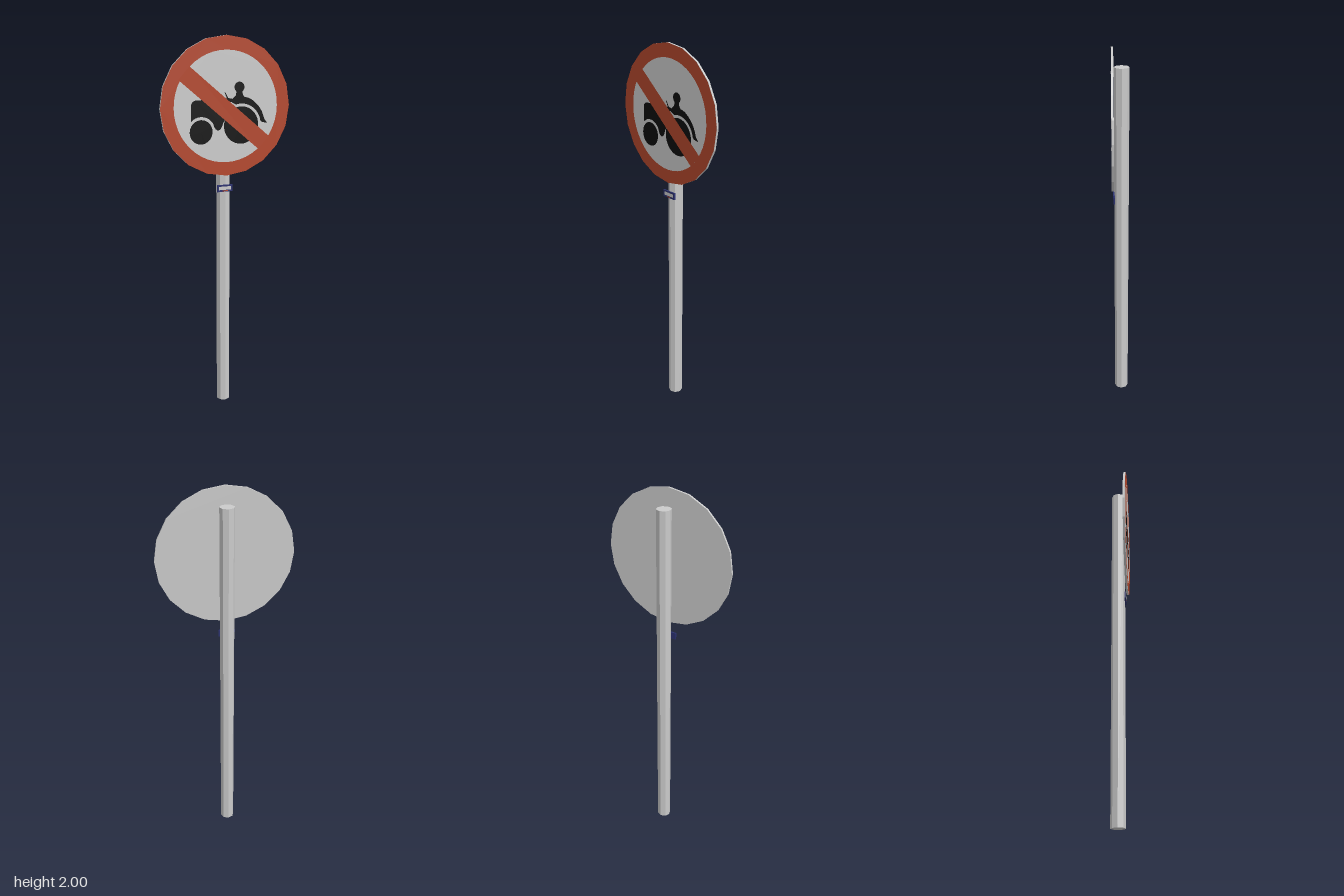
import * as THREE from 'three';

const material = (name, color, extra = {}) => {
  const m = new THREE.MeshStandardMaterial({ color, ...extra });
  m.name = name;
  return m;
};

export function createModel() {
  const grey = material('galvanised grey', 0xcacaca);
  const white = material('sign white', 0xcccccc);
  const red = material('sign red', 0xb4472c);
  const black = material('symbol black', 0x0c0c0c);
  const blue = material('sticker blue', 0x2c3270);

  const model = new THREE.Group();
  model.name = 'prohibitionSign';
  const add = (parent, name, geometry, mat, x = 0, y = 0, z = 0) => {
    const mesh = new THREE.Mesh(geometry, mat);
    mesh.name = name;
    mesh.position.set(x, y, z);
    parent.add(mesh);
    return mesh;
  };
  const polygon = (points) => new THREE.Shape(points.map(([x, y]) => new THREE.Vector2(x, y)));
  const circle = (r, sides) => polygon(Array.from({ length: sides }, (_, i) => {
    const a = (i / sides) * Math.PI * 2;
    return [r * Math.cos(a), r * Math.sin(a)];
  }));

  // Eight-sided post
  add(model, 'post', new THREE.CylinderGeometry(0.0377, 0.0377, 1.91, 8).toNonIndexed(), grey, 0, 0.955, -0.013)
    .geometry.computeVertexNormals();

  // Twenty-sided sign plate
  const sign = new THREE.Group();
  sign.name = 'signHead';
  sign.position.y = 1.65;
  model.add(sign);
  const plate = new THREE.ExtrudeGeometry(circle(0.35, 20), { depth: 0.011, bevelEnabled: false });
  add(sign, 'signPlate', plate, grey, 0, 0, 0.027);

  // Painted face: white field and red border
  add(sign, 'whiteField', new THREE.ShapeGeometry(circle(0.285, 48)), white, 0, 0, 0.0388);
  const border = circle(0.35, 20);
  border.holes.push(circle(0.28, 48));
  add(sign, 'redBorder', new THREE.ShapeGeometry(border), red, 0, 0, 0.0396);

  // Tractor symbol, drawn relative to the sign centre
  const tractor = new THREE.Group();
  tractor.name = 'tractorSymbol';
  tractor.position.z = 0.0398;
  sign.add(tractor);
  add(tractor, 'frontWheel', new THREE.CircleGeometry(0.061, 32), black, -0.138, -0.121);
  add(tractor, 'rearWheel', new THREE.CircleGeometry(0.095, 40), black, 0.08, -0.094);
  add(tractor, 'driverHead', new THREE.CircleGeometry(0.027, 24), black, 0.069, 0.097);

  // Bonnet, cut away in an arc above the front wheel
  const bonnet = new THREE.Shape();
  bonnet.moveTo(-0.19, -0.068);
  bonnet.lineTo(-0.19, 0.017);
  bonnet.quadraticCurveTo(-0.182, 0.036, -0.16, 0.038);
  bonnet.lineTo(-0.06, 0.038);
  bonnet.lineTo(0.02, -0.005);
  bonnet.lineTo(-0.02, -0.08);
  bonnet.quadraticCurveTo(-0.03, -0.118, -0.05, -0.115);
  bonnet.quadraticCurveTo(-0.065, -0.11, -0.072, -0.085);
  bonnet.absarc(-0.138, -0.121, 0.076, 0.5, 2.34, false);
  add(tractor, 'bonnet', new THREE.ShapeGeometry(bonnet), black);

  // Mudguard following the rear wheel
  const guard = new THREE.Shape();
  guard.moveTo(0.228, -0.087);
  guard.quadraticCurveTo(0.205, -0.087, 0.19, -0.078);
  guard.absarc(0.08, -0.094, 0.109, 0.15, 1.85, false);
  guard.lineTo(0.018, 0.028);
  guard.quadraticCurveTo(0.085, 0.062, 0.132, 0.037);
  guard.quadraticCurveTo(0.19, 0, 0.205, -0.055);
  guard.quadraticCurveTo(0.212, -0.075, 0.228, -0.087);
  add(tractor, 'mudguard', new THREE.ShapeGeometry(guard), black);

  add(tractor, 'driverBody', new THREE.ShapeGeometry(polygon([
    [0.028, 0.03], [0.05, 0.058], [0.054, 0.085], [0.084, 0.085], [0.088, 0.06], [0.105, 0.035],
  ])), black);
  add(tractor, 'steeringWheel', new THREE.ShapeGeometry(polygon([
    [-0.012, 0.073], [-0.007, 0.073], [0.008, 0.045], [0.03, 0.04], [0.05, 0.058],
    [0.05, 0.02], [-0.01, 0.03], [0, 0.045],
  ])), black);

  // Diagonal prohibition bar
  add(sign, 'prohibitionBar', new THREE.ShapeGeometry(polygon([
    [-0.196, 0.202], [-0.254, 0.138], [0.176, -0.22], [0.238, -0.158],
  ])), red, 0, 0, 0.0408);

  // Small sticker plate on the post
  const sticker = new THREE.Group();
  sticker.name = 'sticker';
  sticker.position.set(-0.005, 1.231, 0.026);
  model.add(sticker);
  add(sticker, 'stickerPlate', new THREE.BoxGeometry(0.086, 0.036, 0.008), blue);
  add(sticker, 'stickerPanel', new THREE.PlaneGeometry(0.068, 0.018), white, 0, 0.001, 0.0046);
  add(sticker, 'stickerStripe', new THREE.PlaneGeometry(0.03, 0.005), red, 0, -0.013, 0.0046);

  return model;
}
